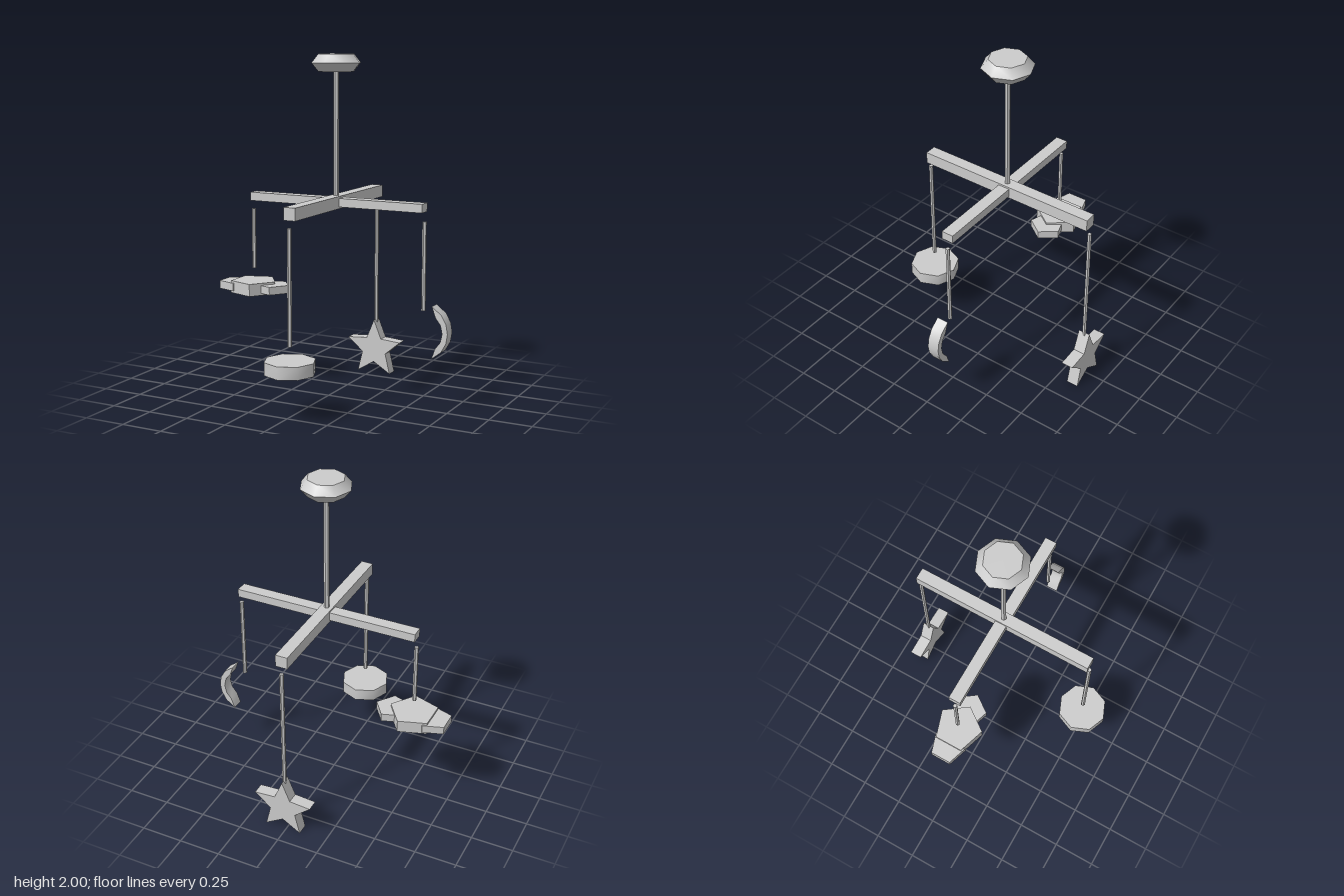
import * as THREE from 'three';
import { toCreasedNormals } from 'three/addons/utils/BufferGeometryUtils.js';

const CX = 0.02, CZ = -0.055; // hanging axis
const CREASE = 0.8;           // octagons stay smooth, sharper corners stay crisp

export function createModel() {
  const model = new THREE.Group();
  model.name = 'hangingMobile';
  const grey = new THREE.MeshStandardMaterial({ color: 0xcccccc });
  grey.name = 'light grey';

  const add = (name, geometry, x, y, z, parent = model) => {
    const mesh = new THREE.Mesh(toCreasedNormals(geometry, CREASE), grey);
    mesh.name = name;
    mesh.position.set(x, y, z);
    parent.add(mesh);
    return mesh;
  };

  // Vertical hexagonal rod between two heights
  const rod = (name, r, y0, y1, x, z) =>
    add(name, new THREE.CylinderGeometry(r, r, y1 - y0, 6), x, (y0 + y1) / 2, z);

  // Flat outline given thickness, centred on its own plane
  const slab = (points, depth) =>
    new THREE.ExtrudeGeometry(new THREE.Shape(points), { depth, bevelEnabled: false, curveSegments: 1 })
      .translate(0, 0, -depth / 2);

  // Ceiling canopy and main stem
  const profile = [[0, 1.9], [0.107, 1.9], [0.148, 1.95], [0.107, 2], [0, 2]].map(p => new THREE.Vector2(...p));
  add('canopy', new THREE.LatheGeometry(profile, 8), CX, 0, CZ);
  rod('stem', 0.016, 1.15, 1.91, CX, CZ);

  // Crossed arms
  add('sideArm', new THREE.BoxGeometry(1.112, 0.05, 0.072), CX, 1.152, CZ);
  add('lengthArm', new THREE.BoxGeometry(0.072, 0.072, 1.112), CX, 1.152, CZ);

  // Strings under the arm ends
  rod('cloudString', 0.0125, 0.71, 1.075, CX - 0.555, CZ);
  rod('moonString', 0.0125, 0.565, 1.075, CX + 0.556, CZ);
  rod('discString', 0.0125, 0.415, 1.075, CX, CZ + 0.556);
  rod('starString', 0.0125, 0.32, 1.075, CX, CZ - 0.556);

  // Octagonal disc
  add('disc', new THREE.CylinderGeometry(0.148, 0.148, 0.074, 8), CX, 0.302, CZ + 0.556);

  // Five-pointed star
  const star = [];
  for (let i = 0; i < 10; i++) {
    const a = Math.PI / 2 + i * Math.PI / 5, r = i % 2 ? 0.083 : 0.186;
    star.push(new THREE.Vector2(Math.cos(a) * r, Math.sin(a) * r));
  }
  add('star', slab(star, 0.072), CX, 0.152, CZ - 0.556);

  // Crescent moon, mirrored about its middle height
  const outer = [[0.642, 0.152], [0.7, 0.107], [0.729, 0.055], [0.738, 0]];
  const inner = [[0.664, 0.09], [0.695, 0.05], [0.706, 0]];
  const mirror = side => side.slice(0, -1).reverse().map(([x, y]) => [x, -y]);
  const moon = [...outer, ...mirror(outer), ...[...inner, ...mirror(inner)].reverse()];
  add('moon', slab(moon.map(p => new THREE.Vector2(...p)), 0.072), 0, 0.45, CZ);

  // Cloud of three overlapping pentagons, each pointing to +x
  const cloud = new THREE.Group();
  cloud.name = 'cloud';
  model.add(cloud);
  for (const [name, x, r, h] of [
    ['cloudMiddle', -0.535, 0.144, 0.074],
    ['cloudOuterPuff', -0.66, 0.105, 0.048],
    ['cloudInnerPuff', -0.407, 0.105, 0.048],
  ]) {
    const pentagon = [];
    for (let i = 0; i < 5; i++) {
      const a = i * Math.PI * 0.4;
      pentagon.push(new THREE.Vector2(Math.cos(a) * r, Math.sin(a) * r));
    }
    add(name, slab(pentagon, h).rotateX(-Math.PI / 2), x, 0.6, CZ, cloud);
  }

  return model;
}
